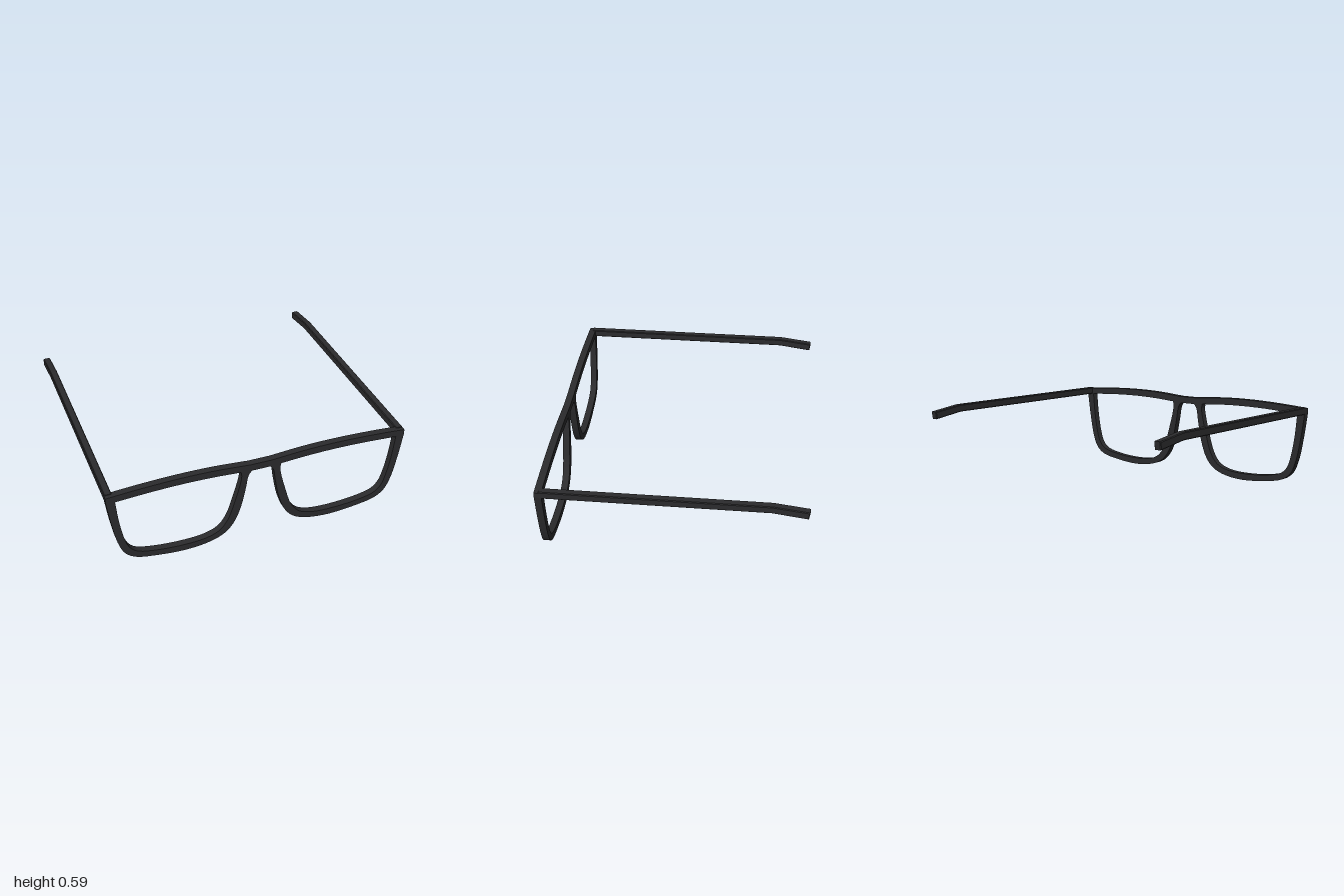
import * as THREE from 'three';

const vec = ([x, y]) => new THREE.Vector2(x, y);
const mirror = (pts) => pts.map(([x, y]) => [-x, y]).reverse();

// Smooth run of points through a few control points
const smooth = (pts, n) =>
  new THREE.CatmullRomCurve3(pts.map(([x, y]) => new THREE.Vector3(x, y, 0)), false, 'centripetal')
    .getPoints(n).map((p) => [p.x, p.y]);

export function createModel() {
  const group = new THREE.Group();
  const black = new THREE.MeshStandardMaterial({ color: 0x2b2b2d });
  black.name = 'matte black';

  // Outer edge of one half, from the bridge top round to the bridge underside
  const top = smooth([[0.07, 0.573], [0.12, 0.577], [0.28, 0.589], [0.45, 0.594], [0.62, 0.592], [0.82, 0.583], [1, 0.57]], 18);
  const rim = smooth([[1, 0.535], [0.975, 0.36], [0.94, 0.19], [0.9, 0.1], [0.835, 0.05],
    [0.7, 0.02], [0.49, 0.003], [0.33, 0.024], [0.24, 0.064], [0.178, 0.134], [0.132, 0.25],
    [0.1, 0.4], [0.083, 0.495], [0.062, 0.525]], 48);
  const half = [...top, ...rim];

  // Lens opening
  const openingTop = smooth([[0.135, 0.53], [0.3, 0.541], [0.49, 0.546], [0.7, 0.542], [0.942, 0.528]], 14);
  const openingRim = smooth([[0.942, 0.528], [0.925, 0.36], [0.9, 0.225], [0.873, 0.145], [0.825, 0.096],
    [0.7, 0.064], [0.49, 0.05], [0.355, 0.063], [0.275, 0.098], [0.22, 0.17], [0.173, 0.31],
    [0.13, 0.49], [0.135, 0.53]], 44);
  const opening = [...openingTop, ...openingRim.slice(1, -1)];

  // Front frame with both openings, outline counter-clockwise
  const shape = new THREE.Shape([...half, ...mirror(half)].reverse().map(vec));
  shape.holes.push(new THREE.Path(opening.map(vec)), new THREE.Path(mirror(opening).map(vec)));
  const frameGeo = new THREE.ExtrudeGeometry(shape, { depth: 0.046, bevelEnabled: false });
  frameGeo.translate(0, 0, 0.796);
  const frame = new THREE.Mesh(frameGeo, black);
  frame.name = 'frontFrame';
  group.add(frame);

  // Temple arms: bent side profile with slightly chamfered edges
  const c = 0.005;
  const profile = new THREE.Shape([[0.81, 0.527 + c], [0.81, 0.577 - c], [-0.617, 0.577 - c],
    [-0.842 + c, 0.549 - c], [-0.836 + c, 0.497 + c], [-0.612, 0.527 + c]].map(vec));
  const armGeo = new THREE.ExtrudeGeometry(profile, {
    depth: 0.048 - 2 * c, bevelEnabled: true, bevelSize: c, bevelThickness: c, bevelSegments: 1,
  });
  armGeo.rotateY(-Math.PI / 2);
  armGeo.translate(0.024 - c, 0, 0);
  for (const [name, side] of [['leftTemple', 1], ['rightTemple', -1]]) {
    const arm = new THREE.Mesh(armGeo, black);
    arm.name = name;
    arm.position.x = side * 0.976;
    group.add(arm);
  }
  return group;
}
